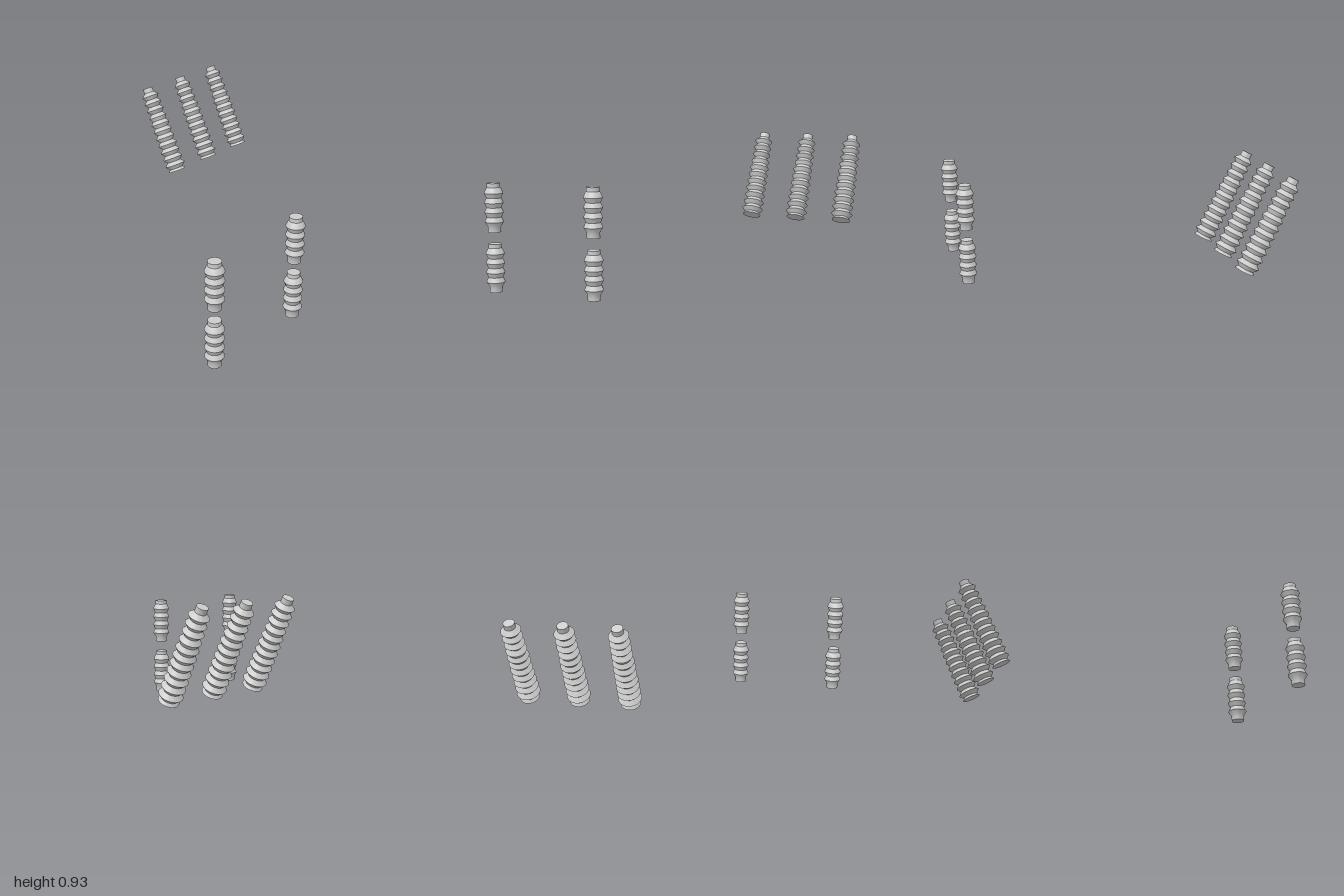
import * as THREE from 'three';
import { toCreasedNormals } from 'three/addons/utils/BufferGeometryUtils.js';

const material = new THREE.MeshStandardMaterial({ color: 0xcccccc });

// Capped, sharp-ridged body of revolution from [radius, height] pairs
function turned(profile) {
  const points = profile.map(([r, y]) => new THREE.Vector2(r, y));
  return toCreasedNormals(new THREE.LatheGeometry(points, 28), 0.6);
}

// Short bellows: plain collars at both ends, four soft folds between
function shortBellows() {
  const profile = [[0, 0], [0.041, 0], [0.041, 0.035]];
  const pitch = 0.061;
  for (let i = 0; i < 4; i++) {
    const y = 0.035 + i * pitch;
    profile.push([0.06, y + pitch / 2], [0.046, y + pitch]);
  }
  profile.push([0.041, 0.285], [0.041, 0.311], [0, 0.311]);
  return turned(profile);
}

// Long bellows: flared foot, seven wide folds, four narrower folds, thin neck
function longBellows() {
  const profile = [[0, 0], [0.064, 0], [0.05, 0.018]];
  const pitch = 0.0535;
  for (let i = 0; i < 11; i++) {
    const y = 0.018 + i * pitch;
    const upper = i > 6;
    const ridge = upper ? 0.066 - (i - 7) * 0.001 : 0.075 - i * 0.001;
    const valley = upper ? 0.042 : 0.05;
    profile.push([ridge, y + pitch / 2], [i === 10 ? 0.035 : valley, y + pitch]);
  }
  profile.push([0.035, 0.641], [0, 0.641]);
  return turned(profile);
}

export function createModel() {
  const model = new THREE.Group();
  const add = (geometry, name, x, y, z, tilt = 0) => {
    const mesh = new THREE.Mesh(geometry, material);
    mesh.name = name;
    mesh.position.set(x, y, z);
    mesh.rotation.x = tilt;
    model.add(mesh);
  };

  // Two upright stacks at the front
  const short = shortBellows();
  for (const [side, x, y] of [['right', -0.938, 0], ['left', -0.235, 0.009]]) {
    add(short, `${side}LowerBellows`, x, y, 0.895);
    add(short, `${side}UpperBellows`, x, y + 0.386, 0.895);
  }

  // Row of three leaning backwards
  const long = longBellows();
  for (let i = 0; i < 3; i++) {
    add(long, `leaningBellows${i + 1}`, 0.26 + i * 0.331, 0.348, -0.63, -0.483);
  }
  return model;
}
